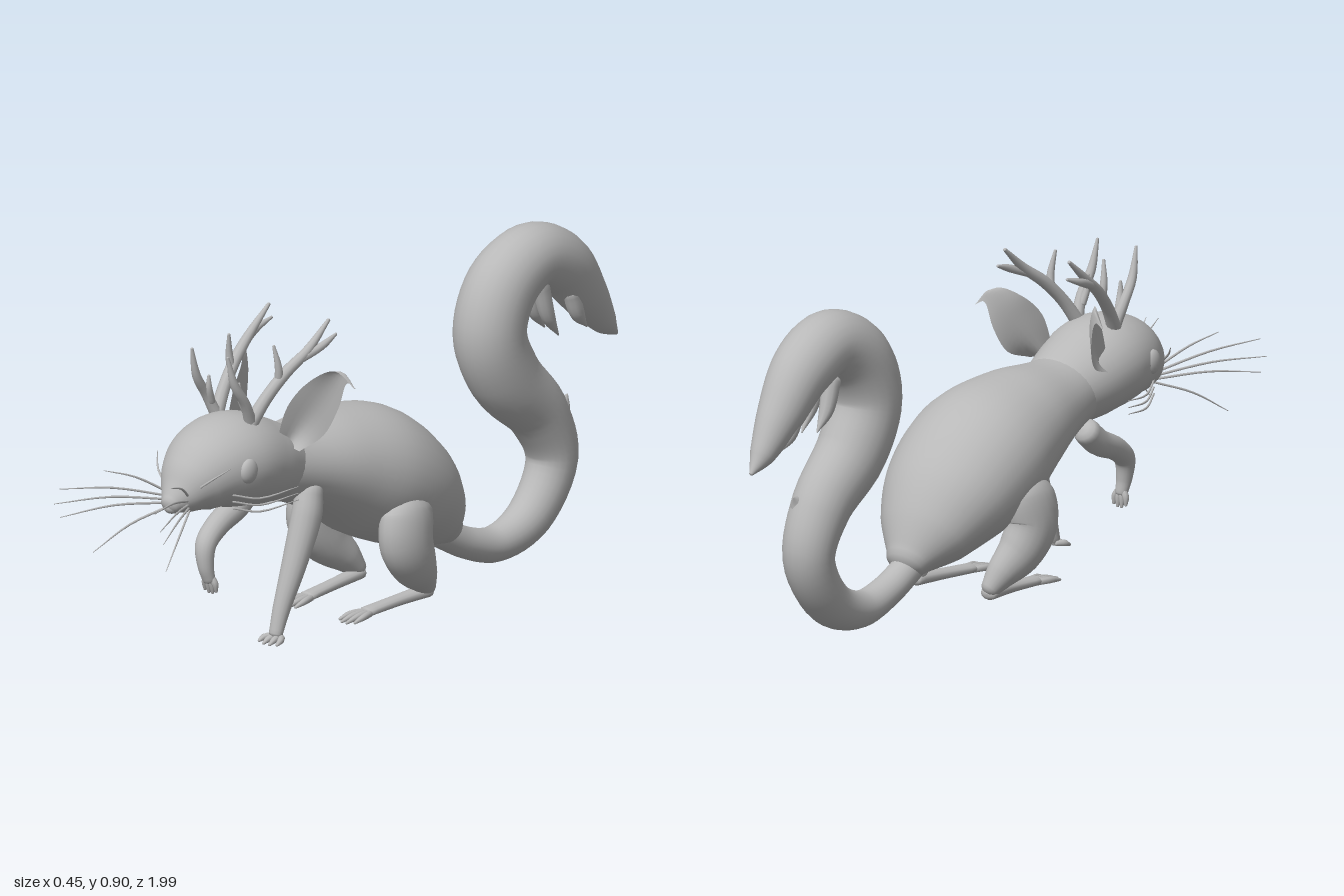
import * as THREE from 'three';

const fur = new THREE.MeshStandardMaterial({ color: 0xb8b8b8 });
fur.name = 'grey fur';
const thinFur = new THREE.MeshStandardMaterial({ color: 0xb8b8b8, side: THREE.DoubleSide });
thinFur.name = 'grey thin skin';

// Smooth body swept through sections [x, y, z, sideRadius, upRadius], with domed ends
function sweep(name, sections, { steps = 6, sides = 16, mirror = 1, dome = 0.6 } = {}) {
  const path = new THREE.CatmullRomCurve3(sections.map(([x, y, z]) => new THREE.Vector3(x * mirror, y, z)));
  const size = new THREE.CatmullRomCurve3(
    sections.map(([, , , a, b = a]) => new THREE.Vector3(a, b, 0)), false, 'catmullrom', 0.5);
  const n = (sections.length - 1) * steps;
  const rings = [];
  for (const a of [90, 60, 30]) rings.push([0, -a]);
  for (let i = 0; i <= n; i++) rings.push([i / n, 0]);
  for (const a of [30, 60, 90]) rings.push([1, a]);

  const pos = [], idx = [];
  rings.forEach(([t, angle], i) => {
    const c = path.getPoint(t), tan = path.getTangent(t), r = size.getPoint(t);
    const side = new THREE.Vector3(1, 0, 0).addScaledVector(tan, -tan.x).normalize();
    const up = new THREE.Vector3().crossVectors(tan, side);
    const a = THREE.MathUtils.degToRad(angle);
    const rx = Math.max(r.x, 0.0005), ry = Math.max(r.y, 0.0005);
    c.addScaledVector(tan, Math.sin(a) * Math.min(rx, ry) * dome);
    for (let j = 0; j < sides; j++) {
      const q = (j / sides) * Math.PI * 2;
      const p = c.clone().addScaledVector(side, Math.cos(q) * rx * Math.cos(a))
        .addScaledVector(up, Math.sin(q) * ry * Math.cos(a));
      pos.push(p.x, p.y, p.z);
      if (i < rings.length - 1) {
        const k = (j + 1) % sides, A = i * sides, B = A + sides;
        idx.push(A + j, A + k, B + j, A + k, B + k, B + j);
      }
    }
  });
  return surface(name, pos, idx, fur);
}

function surface(name, pos, idx, material) {
  const g = new THREE.BufferGeometry();
  g.setAttribute('position', new THREE.Float32BufferAttribute(pos, 3));
  g.setIndex(idx);
  g.computeVertexNormals();
  const mesh = new THREE.Mesh(g, material);
  mesh.name = name;
  return mesh;
}

// Curved open sheet through rows of three points
function earSheet(mirror) {
  const rows = [
    [[.09, .54, .44], [.095, .54, .40], [.13, .53, .39]],
    [[.098, .65, .40], [.118, .62, .335], [.145, .56, .31]],
    [[.122, .71, .34], [.145, .69, .29], [.163, .63, .272]],
    [[.165, .735, .29], [.175, .73, .27], [.185, .70, .262]],
    [[.21, .69, .262], [.211, .69, .26], [.212, .688, .258]],
  ];
  const rails = [0, 1, 2].map(k => new THREE.CatmullRomCurve3(
    rows.map(r => new THREE.Vector3(r[k][0] * mirror, r[k][1], r[k][2]))));
  const N = 20, M = 8, pos = [], idx = [];
  for (let i = 0; i <= N; i++) {
    const cross = new THREE.CatmullRomCurve3(rails.map(c => c.getPoint(i / N)));
    for (let j = 0; j <= M; j++) {
      pos.push(...cross.getPoint(j / M).toArray());
      if (i < N && j < M) {
        const a = i * (M + 1) + j, b = a + M + 1;
        idx.push(a, a + 1, b, a + 1, b + 1, b);
      }
    }
  }
  return surface('ear', pos, idx, thinFur);
}

function ball(name, x, y, z, rx, ry, rz) {
  const mesh = new THREE.Mesh(new THREE.SphereGeometry(1, 20, 14), fur);
  mesh.name = name;
  mesh.position.set(x, y, z);
  mesh.scale.set(rx, ry, rz);
  return mesh;
}

// Four fanned toes from a wrist point along (dy, dz)
function toes(name, x, y, z, dy, dz, spread) {
  const g = new THREE.Group();
  g.name = name;
  for (let i = 0; i < 4; i++) {
    const k = (i - 1.5) / 1.5, s = 1 - Math.abs(k) * 0.2;
    g.add(sweep('toe', [
      [x + k * spread * .5, y, z, .009],
      [x + k * spread * .9, y + dy * .5 * s + .003, z + dz * .5 * s, .009],
      [x + k * spread, y + dy * s, z + dz * s, .004]], { sides: 8, steps: 3 }));
  }
  return g;
}

export function createModel() {
  const model = new THREE.Group();
  model.name = 'antleredRodent';

  // Torso and head
  model.add(sweep('body', [
    [0, .475, .43, .10, .095], [0, .455, .30, .128, .107], [0, .425, .15, .17, .147],
    [0, .37, 0, .2, .178], [0, .285, -.14, .185, .158], [0, .2, -.245, .13, .108],
    [0, .145, -.31, .065, .055]], { sides: 32 }));
  model.add(sweep('head', [
    [0, .465, .34, .112, .1], [0, .49, .43, .135, .118], [0, .513, .52, .144, .127],
    [0, .508, .6, .13, .116], [0, .48, .67, .097, .089], [0, .455, .715, .062, .056],
    [0, .437, .75, .03, .028]], { sides: 32 }));
  model.add(ball('nose', 0, .43, .748, .022, .018, .018));

  // S-shaped tail with tufts
  model.add(sweep('tail', [
    [0, .135, -.29, .042], [.005, .078, -.4, .045, .043], [.008, .053, -.51, .05, .05],
    [.01, .1, -.64, .06, .063], [.008, .24, -.73, .07, .07], [.003, .375, -.68, .08, .085],
    [-.005, .5, -.56, .093, .1], [-.008, .63, -.505, .097, .1], [-.006, .75, -.55, .095, .1],
    [0, .81, -.655, .088, .09], [0, .765, -.77, .082, .085], [0, .66, -.865, .062, .066],
    [0, .565, -.945, .033, .035], [0, .525, -.99, .006]], { sides: 24 }));
  for (const [x, y, z, dy, dz] of [
    [.03, .74, -.66, -.16, -.075], [-.03, .72, -.68, -.13, -.06],
    [.03, .69, -.78, -.11, -.065], [-.03, .66, -.84, -.09, -.07], [.03, .36, -.735, .05, -.035]]) {
    model.add(sweep('tailTuft', [
      [x, y, z, .025], [x, y + dy * .6, z + dz * .4, .02], [x * .9, y + dy, z + dz, .002]],
      { sides: 10 }));
  }

  for (const mirror of [1, -1]) {
    const half = new THREE.Group();
    half.name = mirror > 0 ? 'leftSide' : 'rightSide';
    const add = (name, sections, opts = {}) => half.add(sweep(name, sections, { mirror, ...opts }));

    half.add(ball('eye', .127 * mirror, .518, .583, .018, .034, .03));
    half.add(earSheet(mirror));

    // Antler beams and tines
    const antler = [
      [[.06, .61, .51, .02], [.075, .68, .46, .017], [.09, .74, .40, .016], [.105, .79, .33, .013], [.107, .857, .25, .005]],
      [[.098, .765, .37, .012], [.118, .795, .29, .011], [.115, .815, .23, .004]],
      [[.085, .715, .42, .012], [.088, .76, .425, .01], [.08, .82, .435, .004]],
      [[.06, .61, .5, .018], [.07, .68, .535, .014], [.068, .74, .575, .012], [.064, .82, .597, .004]],
      [[.06, .66, .525, .011], [.055, .70, .54, .009], [.054, .735, .542, .004]],
    ];
    antler.forEach(s => add('antler', s, { sides: 10, steps: 4 }));

    // Muzzle and cheek whiskers
    const tips = [[.12, .535, .88], [.17, .5, .998], [.19, .455, .998], [.185, .415, .98], [.13, .315, .91]];
    tips.forEach(([x, y, z], i) => {
      const y0 = .455 - i * .009;
      add('whisker', [[.035, y0, .715, .0035],
        [(x + .045) / 2, (y + y0) / 2 + .012, (z + .715) / 2, .003], [x, y, z, .001]],
        { sides: 6, steps: 4 });
    });
    for (let i = 0; i < 3; i++) {
      const y = .455 - i * .018;
      add('cheekWhisker', [[.105, y, .62, .003], [.135, y - .018, .55, .003], [.165, y - .006, .43, .001]],
        { sides: 6, steps: 4 });
    }
    add('browWhisker', [[.045, .47, .715, .004], [.09, .505, .70, .003], [.13, .54, .66, .001]],
      { sides: 6, steps: 4 });

    // Hind leg: thigh, long foot and toes
    add('thigh', [
      [.145, .325, 0, .035, .05], [.158, .285, .002, .055, .082], [.166, .21, .012, .06, .083],
      [.158, .14, -.025, .058, .068], [.137, .085, -.08, .042, .046], [.123, .045, -.115, .026, .026]],
      { sides: 20 });
    add('hindFoot', [[.122, .034, -.118, .025, .018], [.113, .028, -.02, .021, .015],
      [.106, .02, .1, .024, .013]], { sides: 12 });
    half.add(toes('hindToes', .106 * mirror, .018, .1, -.009, .095, .027));
    model.add(half);
  }

  // Planted left foreleg
  model.add(sweep('leftForeleg', [
    [.09, .4, .305, .036], [.096, .33, .325, .041, .042], [.095, .2, .375, .034, .032],
    [.09, .09, .417, .024, .023], [.09, .03, .438, .02, .017]]));
  model.add(toes('leftForeToes', .092, .022, .435, -.012, .045, .032));

  // Raised right foreleg, bent at the wrist
  model.add(sweep('rightForeleg', [
    [-.095, .375, .34, .036], [-.095, .335, .39, .036, .036], [-.09, .3, .47, .032, .032],
    [-.083, .26, .522, .029, .028], [-.076, .205, .53, .022, .022], [-.072, .165, .522, .018, .016]]));
  model.add(toes('rightForeToes', -.072, .17, .52, -.045, -.006, .02));

  return model;
}
